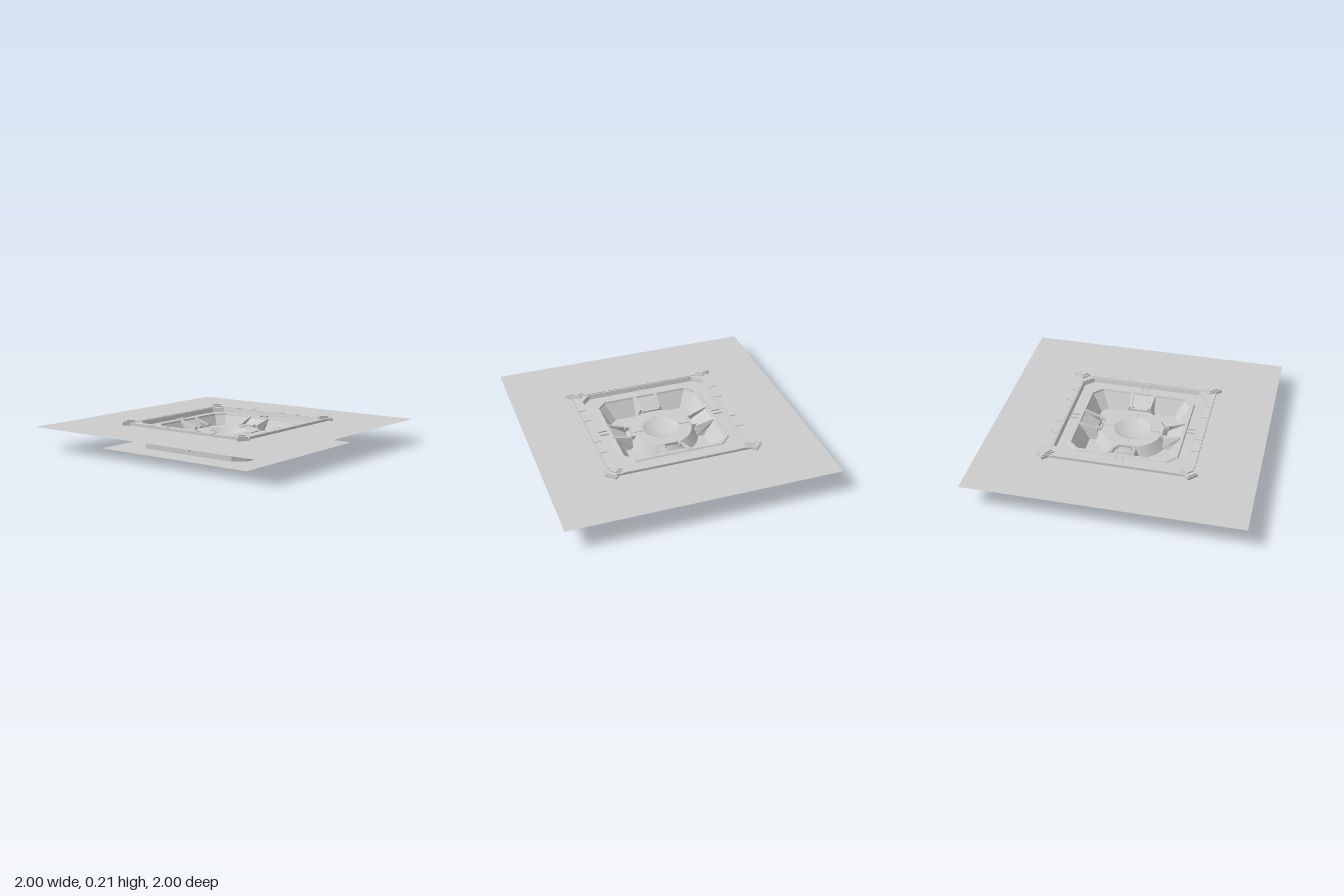
import * as THREE from 'three';
import { toCreasedNormals } from 'three/addons/utils/BufferGeometryUtils.js';
import { ConvexGeometry } from 'three/addons/geometries/ConvexGeometry.js';

const solid = new THREE.MeshStandardMaterial({ color: 0xcccccc, flatShading: true });
const smooth = new THREE.MeshStandardMaterial({ color: 0xcccccc });
const thin = new THREE.MeshStandardMaterial({ color: 0xcccccc, side: THREE.DoubleSide });

function add(parent, name, geometry, material = solid) {
  const mesh = new THREE.Mesh(geometry, material);
  mesh.name = name;
  parent.add(mesh);
  return mesh;
}

function addBox(parent, name, w, h, d, x, y, z) {
  const mesh = add(parent, name, new THREE.BoxGeometry(w, h, d));
  mesh.position.set(x, y, z);
  return mesh;
}

// Corners of a square with chamfered corners, anticlockwise from above
function octagon(half, cut) {
  const c = half - cut;
  return [[half, -c], [half, c], [c, half], [-c, half], [-half, c], [-half, -c], [-c, -half], [c, -half]]
    .map(([x, y]) => new THREE.Vector2(x, y));
}

// Skin over a stack of chamfered squares [half width, chamfer, height]
function loft(profile) {
  const loops = profile.map(([half, cut, y]) => octagon(half, cut).map(p => new THREE.Vector3(p.x, y, -p.y)));
  const points = [];
  for (let i = 0; i + 1 < loops.length; i++) {
    for (let k = 0; k < 8; k++) {
      const n = (k + 1) % 8;
      const a = loops[i][k], b = loops[i][n], c = loops[i + 1][n], d = loops[i + 1][k];
      points.push(a, b, c, a, c, d);
    }
  }
  const geometry = new THREE.BufferGeometry().setFromPoints(points);
  geometry.computeVertexNormals();
  return geometry;
}

// Square sheet with a chamfered square opening
function frameShape(half) {
  const shape = new THREE.Shape(octagon(half, 0.0001));
  shape.holes.push(new THREE.Path(octagon(0.488, 0.07).reverse()));
  return shape;
}

export function createModel() {
  const model = new THREE.Group();
  model.name = 'sunkenBasin';

  // Surrounding ground sheet and the hidden sheet below the basin
  add(model, 'groundSheet', new THREE.ShapeGeometry(frameShape(1)).rotateX(-Math.PI / 2).translate(0, 0.17, 0), thin);
  add(model, 'baseSheet', new THREE.PlaneGeometry(1.33, 1.33).rotateX(-Math.PI / 2), thin);

  // Basin: outer walls, ledge, pit walls and floor in one skin
  add(model, 'basin', loft([
    [0.475, 0.08, 0], [0.475, 0.08, 0.05], [0.49, 0.07, 0.05], [0.49, 0.07, 0.188],
    [0.485, 0.068, 0.188], [0.475, 0.06, 0.155], [0.412, 0.075, 0.155], [0.405, 0.075, 0.165],
    [0.385, 0.065, 0.165], [0.38, 0.06, 0.15], [0.305, 0.045, 0.04], [0.001, 0.0003, 0.04],
  ]));

  // Raised rim around the opening
  const rim = new THREE.ExtrudeGeometry(frameShape(0.55), { depth: 0.014, bevelEnabled: false });
  add(model, 'rim', rim.rotateX(-Math.PI / 2).translate(0, 0.174, 0));

  // Central mound with a shallow bowl
  const lathe = pts => toCreasedNormals(
    new THREE.LatheGeometry(pts.map(p => new THREE.Vector2(...p)), 48), 0.4);
  add(model, 'mound', lathe([[0.28, 0.04], [0.23, 0.115], [0.135, 0.115]]), smooth);
  add(model, 'bowl', lathe([[0.135, 0.115], [0.105, 0.1], [0.07, 0.09], [0.035, 0.084], [0, 0.082]]), smooth);

  for (let i = 0; i < 4; i++) {
    const side = new THREE.Group();
    side.name = 'side' + (i + 1);
    side.rotation.y = i * Math.PI / 2;
    model.add(side);

    // Rim segments with narrow gaps
    const cuts = [-0.47, -0.28, -0.14, 0.14, 0.28, 0.47];
    for (let k = 0; k + 1 < cuts.length; k++) {
      addBox(side, 'rimSegment', cuts[k + 1] - cuts[k] - 0.012, 0.01, 0.054,
        (cuts[k] + cuts[k + 1]) / 2, 0.187, 0.521);
    }

    // Ramp running from the ledge down to the mound
    const ramp = [];
    for (const s of [-1, 1]) {
      ramp.push(
        new THREE.Vector3(s * 0.08, 0.16, 0.395), new THREE.Vector3(s * 0.07, 0.085, 0.265),
        new THREE.Vector3(s * 0.11, 0.04, 0.38), new THREE.Vector3(s * 0.1, 0.04, 0.24));
    }
    add(side, 'ramp', new ConvexGeometry(ramp));

    // Curbs along both edges of the ramp
    for (const s of [-1, 1]) {
      const curb = [];
      for (const x of [0.075, 0.095]) {
        curb.push(
          new THREE.Vector3(s * x, 0.168, 0.395), new THREE.Vector3(s * (x - 0.012), 0.125, 0.25),
          new THREE.Vector3(s * x, 0.13, 0.395), new THREE.Vector3(s * (x + 0.012), 0.05, 0.25));
      }
      add(side, 'rampCurb', new ConvexGeometry(curb));
      addBox(side, 'gateCheek', 0.012, 0.03, 0.045, s * 0.06, 0.115, 0.243);
      addBox(side, 'ledgeGutterEdge', 0.007, 0.01, 0.075, s * 0.022, 0.159, 0.442);
    }

    // Gate at the ramp foot, slot line to the bowl, outer wall plug
    addBox(side, 'gate', 0.115, 0.03, 0.014, 0, 0.113, 0.227);
    addBox(side, 'slotRib', 0.016, 0.006, 0.085, 0, 0.116, 0.18);
    addBox(side, 'wallPlug', 0.045, 0.024, 0.02, 0, 0.038, 0.477);

    // Corner block set on the diagonal, with a smaller cap
    const corner = new THREE.Group();
    corner.name = 'cornerBlock';
    corner.position.set(0.515, 0, 0.515);
    corner.rotation.y = Math.PI / 4;
    side.add(corner);
    addBox(corner, 'cornerFoot', 0.086, 0.018, 0.116, 0, 0.183, 0);
    addBox(corner, 'cornerPlate', 0.07, 0.01, 0.1, 0, 0.196, 0);
    addBox(corner, 'cornerCap', 0.05, 0.01, 0.06, 0, 0.205, -0.006);
  }
  return model;
}
